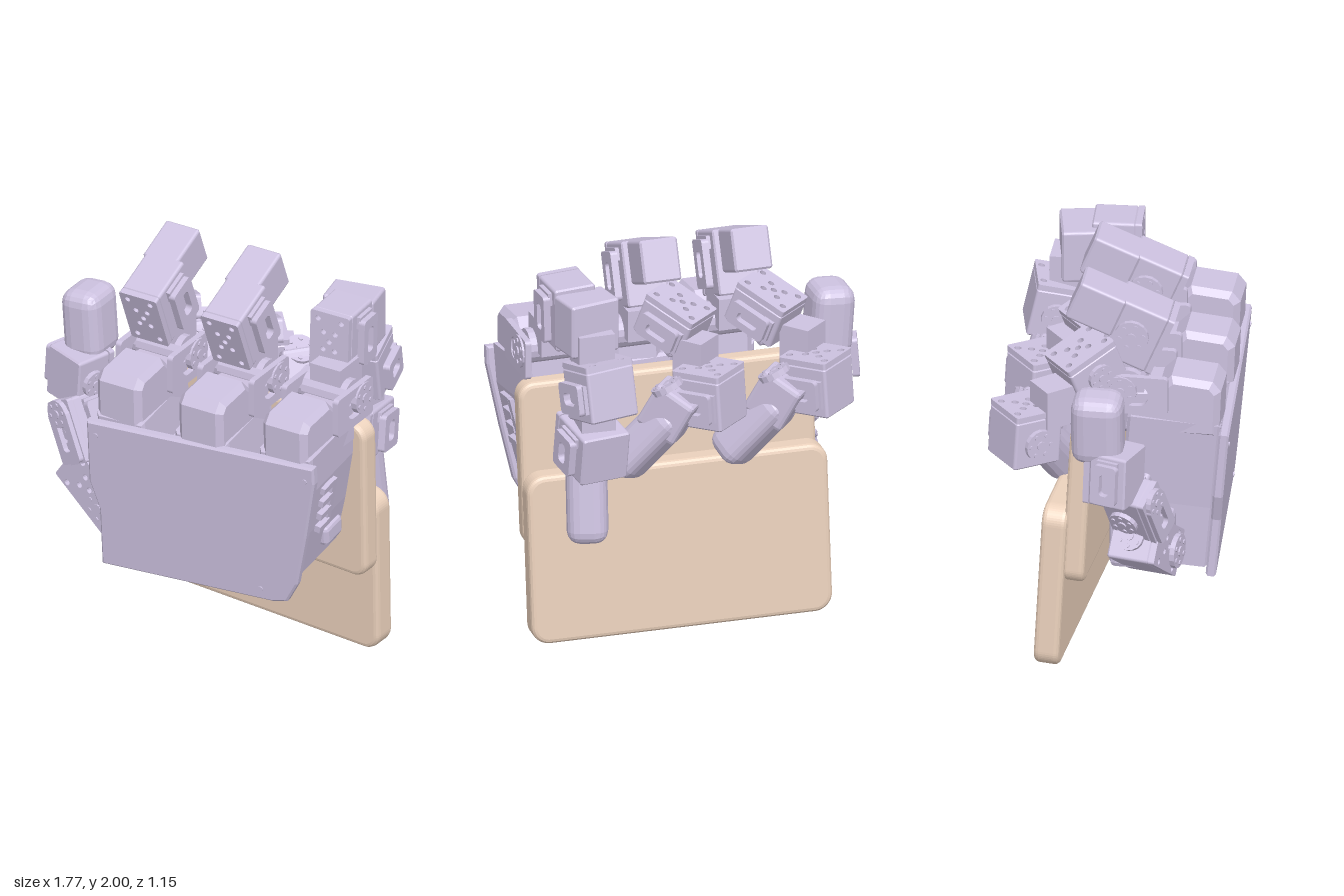
import * as THREE from 'three';
import { RoundedBoxGeometry } from 'three/addons/geometries/RoundedBoxGeometry.js';

const shell = new THREE.MeshStandardMaterial({ color: 0xcdc2e0, flatShading: true });
const tan = new THREE.MeshStandardMaterial({ color: 0xecd2bd });

function add(parent, name, geo, pos = [0, 0, 0], rot = [0, 0, 0], mat = shell) {
  const m = new THREE.Mesh(geo, mat);
  m.name = name;
  m.position.set(...pos);
  m.rotation.set(...rot);
  parent.add(m);
  return m;
}

// Groups turn by yaw last, so a tilted part can be swung about the vertical
function group(parent, name, pos = [0, 0, 0], rot = [0, 0, 0]) {
  const g = new THREE.Group();
  g.name = name;
  g.position.set(...pos);
  g.rotation.set(...rot, 'YXZ');
  parent.add(g);
  return g;
}

function polygon(points) {
  return new THREE.Shape(points.map(([x, y]) => new THREE.Vector2(x, y)));
}

function roundRect(w, h, r, Kind = THREE.Shape) {
  const s = new Kind(), x = w / 2, y = h / 2, q = Math.PI / 2;
  s.absarc(x - r, y - r, r, 0, q, false);
  s.absarc(r - x, y - r, r, q, 2 * q, false);
  s.absarc(r - x, r - y, r, 2 * q, 3 * q, false);
  s.absarc(x - r, r - y, r, 3 * q, 4 * q, false);
  s.closePath();
  return s;
}

function extrude(shape, depth, bevel = 0, segments = 1) {
  return new THREE.ExtrudeGeometry(shape, {
    depth: depth - 2 * bevel, bevelEnabled: bevel > 0, bevelSize: bevel, bevelOffset: -bevel,
    bevelThickness: bevel, bevelSegments: segments, curveSegments: 6,
  }).translate(0, 0, bevel - depth / 2);
}

// Plate with a pattern of screw holes
function screwPlate(w, h, t) {
  const s = roundRect(w, h, 0.012);
  for (const [u, v] of [[-0.15, 0.17], [0.15, 0.17], [-0.15, -0.12], [0.15, -0.12], [0, 0.02], [-0.3, 0.38], [0.3, 0.38], [-0.3, -0.38], [0.3, -0.38]]) {
    const hole = new THREE.Path();
    hole.absarc(u * w, v * h, Math.min(w, h) * 0.07, 0, Math.PI * 2, true);
    s.holes.push(hole);
  }
  return extrude(s, t);
}

// Bracket with one long slot
function slotPlate(w, h, t) {
  const s = roundRect(w, h, 0.02);
  s.holes.push(roundRect(w * 0.4, h * 0.55, w * 0.15, THREE.Path));
  return extrude(s, t);
}

// Finger motor: chamfered body, drilled plate on +z, slotted cheek and round horn
function motor(parent, name, [w, h, d], pos, rot) {
  const g = group(parent, name, pos, rot);
  add(g, 'motorBody', extrude(roundRect(w, h, 0.015), d - 0.03, 0.008), [0, 0, -0.015]);
  add(g, 'drilledPlate', screwPlate(w, h, 0.03), [0, 0, d / 2 - 0.015]);
  add(g, 'cheek', slotPlate(d * 0.55, h * 0.75, 0.035), [w / 2 + 0.03, 0, -0.02], [0, Math.PI / 2, 0]);
  add(g, 'cheekSpacer', new THREE.BoxGeometry(0.03, h * 0.2, d * 0.5), [w / 2 + 0.005, h * 0.32, -0.02]);
  horn(g, Math.min(h, d) * 0.3, [-w / 2 - 0.008, 0, -0.02], [0, 0, Math.PI / 2]);
  return g;
}

// Round motor horn with raised bolts
function horn(parent, r, pos, rot) {
  const g = group(parent, 'horn', pos, rot);
  add(g, 'hornDisc', new THREE.CylinderGeometry(r, r, 0.03, 16));
  add(g, 'hornHub', new THREE.CylinderGeometry(r * 0.3, r * 0.3, 0.045, 10));
  for (let i = 0; i < 6; i++) {
    const a = i * Math.PI / 3;
    add(g, 'bolt', new THREE.CylinderGeometry(r * 0.15, r * 0.15, 0.042, 8),
      [Math.cos(a) * r * 0.7, 0, Math.sin(a) * r * 0.7]);
  }
}

// Rounded pad running from a to b
function fingertip(parent, a, b, w, d) {
  const p = new THREE.Vector3(...a), q = new THREE.Vector3(...b), dir = q.clone().sub(p);
  const m = add(parent, 'fingertip', new RoundedBoxGeometry(w, dir.length(), d, 2, Math.min(w, d) * 0.33),
    p.clone().add(q).multiplyScalar(0.5).toArray());
  m.quaternion.setFromUnitVectors(new THREE.Vector3(0, 1, 0), dir.normalize());
}

// Knuckle block on the palm with its hinge
function knuckle(parent, x, z) {
  const g = group(parent, 'knuckle', [x, 0, z]);
  const side = polygon([[-0.53, 1.2], [-0.54, 1.45], [-0.5, 1.5], [-0.3, 1.52], [-0.24, 1.46], [-0.08, 1.45], [-0.05, 1.2]]);
  add(g, 'knuckleBlock', extrude(side, 0.25, 0.03), [0, 0, 0], [0, Math.PI / 2, 0]);
  add(g, 'hingePin', new THREE.CylinderGeometry(0.085, 0.085, 0.24, 16), [0, 1.46, 0.09], [0, 0, Math.PI / 2]);
  add(g, 'neck', new THREE.BoxGeometry(0.17, 0.16, 0.2), [0, 1.53, 0.05]);
  for (const s of [-1, 1]) {
    add(g, 'hingeArm', slotPlate(0.32, 0.2, 0.03), [s * 0.145, 1.43, 0.13], [0, Math.PI / 2, 0]);
    horn(g, 0.08, [s * 0.155, 1.45, 0.06], [0, 0, Math.PI / 2]);
  }
}

// Finger curling over the board and sideways behind it; splay shifts its far half
function slantedFinger(parent, x, splay) {
  const g = group(parent, 'slantedFinger', [x, 0, 0]);
  knuckle(g, 0.02, 0);
  const upper = motor(g, 'upperLink', [0.21, 0.32, 0.28], [0, 1.73, 0.13], [0.39, 0, 0]);
  add(upper, 'upperLinkEnd', extrude(roundRect(0.19, 0.21, 0.015), 0.24, 0.01), [-0.02, 0.055, -0.23]);
  motor(g, 'middleLink', [0.23, 0.28, 0.22], [-0.11, 1.57, -0.11], [-1.95, 0.7, 0]);
  const far = group(g, 'farHalf', [splay, 0, 0]);
  motor(far, 'lowerLink', [0.25, 0.26, 0.28], [-0.2, 1.28, -0.38], [-1.5, 0.7, 0]);
  add(far, 'lowerNeck', new THREE.BoxGeometry(0.16, 0.2, 0.16), [-0.17, 1.43, -0.25], [0, 0.7, 0]);
  add(far, 'tipBracket', new RoundedBoxGeometry(0.22, 0.24, 0.16, 1, 0.02), [0, 1.22, -0.38], [0, -0.7, 0.5]);
  horn(far, 0.08, [0.02, 1.35, -0.39], [0.3, 0, -0.4]);
  fingertip(far, [-0.03, 1.22, -0.38], [0.22, 0.89, -0.24], 0.2, 0.2);
}

// Finger dropping straight down behind the board
function straightFinger(parent) {
  const g = group(parent, 'straightFinger');
  knuckle(g, 0.69, -0.04);
  motor(g, 'upperLink', [0.21, 0.32, 0.24], [0.65, 1.69, -0.1], [0, 0.06, -0.03]);
  add(g, 'upperLinkEnd', extrude(roundRect(0.26, 0.27, 0.015), 0.18, 0.01), [0.61, 1.69, -0.285], [0, 0.2, 0]);
  motor(g, 'middleLink', [0.26, 0.24, 0.28], [0.58, 1.39, -0.4], [-1.35, 0.22, 0]);
  add(g, 'middleNeck', new THREE.BoxGeometry(0.18, 0.22, 0.15), [0.6, 1.56, -0.34]);
  motor(g, 'lowerLink', [0.25, 0.25, 0.3], [0.6, 1.07, -0.33], [-0.15, 0.15, 0]);
  add(g, 'lowerNeck', new THREE.BoxGeometry(0.17, 0.14, 0.16), [0.6, 1.23, -0.36]);
  fingertip(g, [0.62, 1.02, -0.3], [0.63, 0.58, -0.36], 0.2, 0.21);
}

function thumb(parent) {
  const g = group(parent, 'thumb');
  const base = motor(g, 'thumbBase', [0.38, 0.23, 0.24], [-0.49, 0.69, 0.2], [0, -0.2, -0.62]);
  horn(base, 0.085, [0.1, 0, 0.13], [Math.PI / 2, 0, 0]);
  add(g, 'thumbRoot', new RoundedBoxGeometry(0.22, 0.26, 0.3, 1, 0.03), [-0.38, 0.67, 0.17]);
  const mid = motor(g, 'thumbMiddle', [0.17, 0.32, 0.24], [-0.62, 0.95, 0.17], [0, -0.35, 0.5]);
  horn(mid, 0.07, [0, 0.1, 0.13], [Math.PI / 2, 0, 0]);
  add(mid, 'thumbBracket', slotPlate(0.15, 0.26, 0.03), [0, -0.02, 0.13]);
  motor(g, 'thumbLink', [0.23, 0.27, 0.22], [-0.71, 1.18, 0.08], [0, Math.PI - 0.3, 0.08]);
  fingertip(g, [-0.69, 1.25, 0], [-0.715, 1.61, 0], 0.21, 0.25);
}

// Palm: sloping cover, notched body and side fittings
function palm(parent) {
  const g = group(parent, 'palm', [0.25, 0.85, 0.49], [0.085, 0.06, 0]);
  const cover = polygon([[-0.62, 0.39], [0.62, 0.44], [0.62, 0.35], [0.56, 0.03], [0.5, -0.25], [0.44, -0.36], [0.36, -0.38], [-0.57, -0.41], [-0.57, -0.1], [-0.62, 0.05]]);
  add(g, 'palmCover', extrude(cover, 0.05, 0.01));
  const body = polygon([[-0.59, 0.42], [-0.33, 0.42], [-0.31, 0.22], [-0.18, 0.22], [-0.16, 0.43], [0.13, 0.43], [0.15, 0.22], [0.28, 0.22], [0.3, 0.45],
    [0.59, 0.46], [0.58, 0.26], [0.53, 0.0], [0.47, -0.25], [0.38, -0.36], [-0.54, -0.38], [-0.55, -0.05]]);
  add(g, 'palmBody', extrude(body, 0.45, 0.015), [0, 0, -0.245]);
  // Side fittings
  add(g, 'sideLug', new RoundedBoxGeometry(0.1, 0.1, 0.16, 1, 0.02), [0.48, -0.13, -0.32]);
  for (let i = 0; i < 4; i++)
    add(g, 'sideRib', new THREE.BoxGeometry(0.06, 0.035, 0.1), [0.53 + i * 0.012, i * 0.075, -0.17], [0, 0, -0.2]);
  add(g, 'sideRail', new THREE.BoxGeometry(0.05, 0.28, 0.04), [0.545, 0.1, -0.23], [0, 0, -0.2]);
  for (const [x, y] of [[0.57, 0.36], [0.3, -0.32], [-0.57, 0.32]])
    add(g, 'coverScrew', new THREE.CylinderGeometry(0.013, 0.013, 0.01, 8), [x, y, 0.026], [Math.PI / 2, 0, 0]);
  for (const x of [-0.245, 0.215])
    add(g, 'slotCap', new RoundedBoxGeometry(0.07, 0.05, 0.14, 2, 0.02), [x, 0.23, -0.14]);
}

// Stepped board gripped between palm and fingers
function board(parent) {
  const g = group(parent, 'board', [0.11, 0, -0.12], [0.05, -0.07, -0.022]);
  add(g, 'boardFrontSlab', extrude(roundRect(1.46, 0.85, 0.08), 0.11, 0.025, 3), [0.015, 0.895, 0], [0, 0, 0], tan);
  add(g, 'boardBackSlab', extrude(roundRect(1.49, 0.86, 0.09), 0.125, 0.025, 3), [0, 0.445, -0.1], [0, 0, 0], tan);
}

export function createModel() {
  const model = new THREE.Group();
  model.name = 'robotHandWithBoard';
  board(model);
  palm(model);
  slantedFinger(model, -0.24, -0.08);
  slantedFinger(model, 0.22, 0);
  straightFinger(model);
  thumb(model);
  return model;
}
